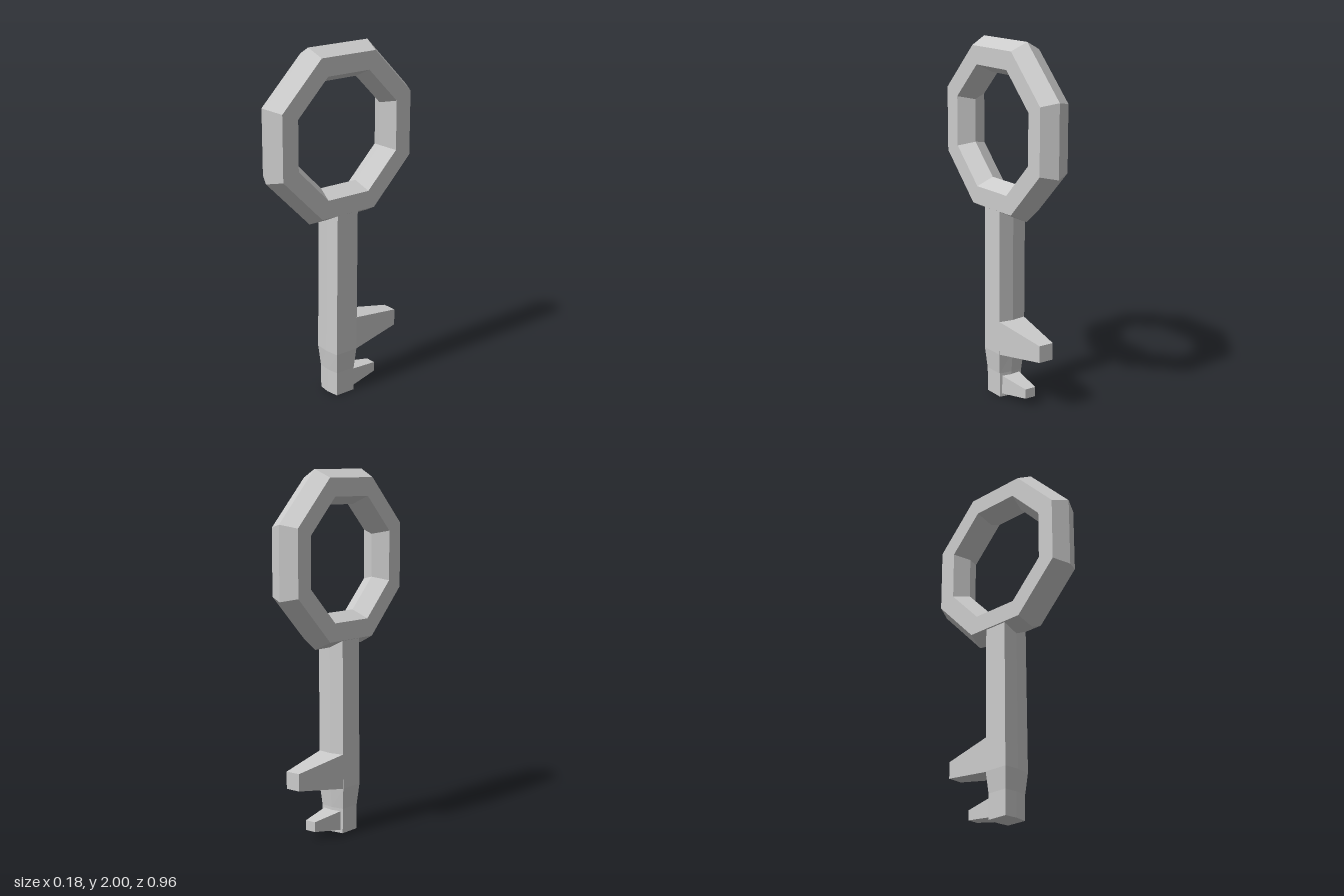
import * as THREE from 'three';

const material = new THREE.MeshStandardMaterial({ color: 0xcccccc, flatShading: true });

// Joins equal-length cross-sections (counterclockwise about the direction of travel) and caps both ends
function loft(sections) {
  const pos = [];
  const tri = (...corners) => corners.forEach((c) => pos.push(...c));
  const n = sections[0].length;
  for (let k = 0; k < sections.length - 1; k++) {
    for (let i = 0; i < n; i++) {
      const j = (i + 1) % n;
      const [a, b, c, d] = [sections[k][i], sections[k][j], sections[k + 1][j], sections[k + 1][i]];
      tri(a, b, c);
      tri(a, c, d);
    }
  }
  const first = sections[0];
  const last = sections[sections.length - 1];
  for (let i = 1; i < n - 1; i++) {
    tri(first[0], first[i + 1], first[i]);
    tri(last[0], last[i], last[i + 1]);
  }
  const geometry = new THREE.BufferGeometry();
  geometry.setAttribute('position', new THREE.Float32BufferAttribute(pos, 3));
  geometry.computeVertexNormals();
  return geometry;
}

// Shaft section: a box with shallow ridges on its front and back
function shaftSection([y, w, front, back]) {
  const e = 0.009;
  return [
    [0, y, front], [w, y, front - e], [w, y, back + e],
    [0, y, back], [-w, y, back + e], [-w, y, front - e],
  ];
}

// Tooth section: a rectangle facing the back
function toothSection([z, w, bottom, top]) {
  return [[-w, top, z], [w, top, z], [w, bottom, z], [-w, bottom, z]];
}

export function createModel() {
  const group = new THREE.Group();
  const add = (name, geometry) => {
    const mesh = new THREE.Mesh(geometry, material);
    mesh.name = name;
    group.add(mesh);
    return mesh;
  };

  // Octagonal bow with a six-sided section; profile is [apothem, offset]
  const scale = 1 / Math.cos(Math.PI / 8);
  const profile = [
    [0.29, 0], [0.335, -0.09], [0.435, -0.09], [0.48, 0], [0.435, 0.09], [0.335, 0.09], [0.29, 0],
  ].map(([r, h]) => new THREE.Vector2(r * scale, h));
  const bow = new THREE.LatheGeometry(profile, 8, Math.PI / 8);
  bow.rotateZ(Math.PI / 2);
  add('bow', bow).position.y = 1.52;

  // Shaft, narrowing near its lower end: [y, half width, front z, back z]
  add('shaft', loft([
    [0, 0.072, 0.077, -0.062],
    [0.14, 0.074, 0.077, -0.062],
    [0.26, 0.085, 0.088, -0.073],
    [1.12, 0.084, 0.08, -0.078],
  ].map(shaftSection)));

  // Tapered teeth on the back: [z, half width, bottom y, top y]
  add('upperTooth', loft([
    [-0.06, 0.083, 0.258, 0.452],
    [-0.385, 0.044, 0.305, 0.4],
  ].map(toothSection)));
  add('lowerTooth', loft([
    [-0.05, 0.059, 0.017, 0.125],
    [-0.243, 0.032, 0.045, 0.1],
  ].map(toothSection)));

  return group;
}
